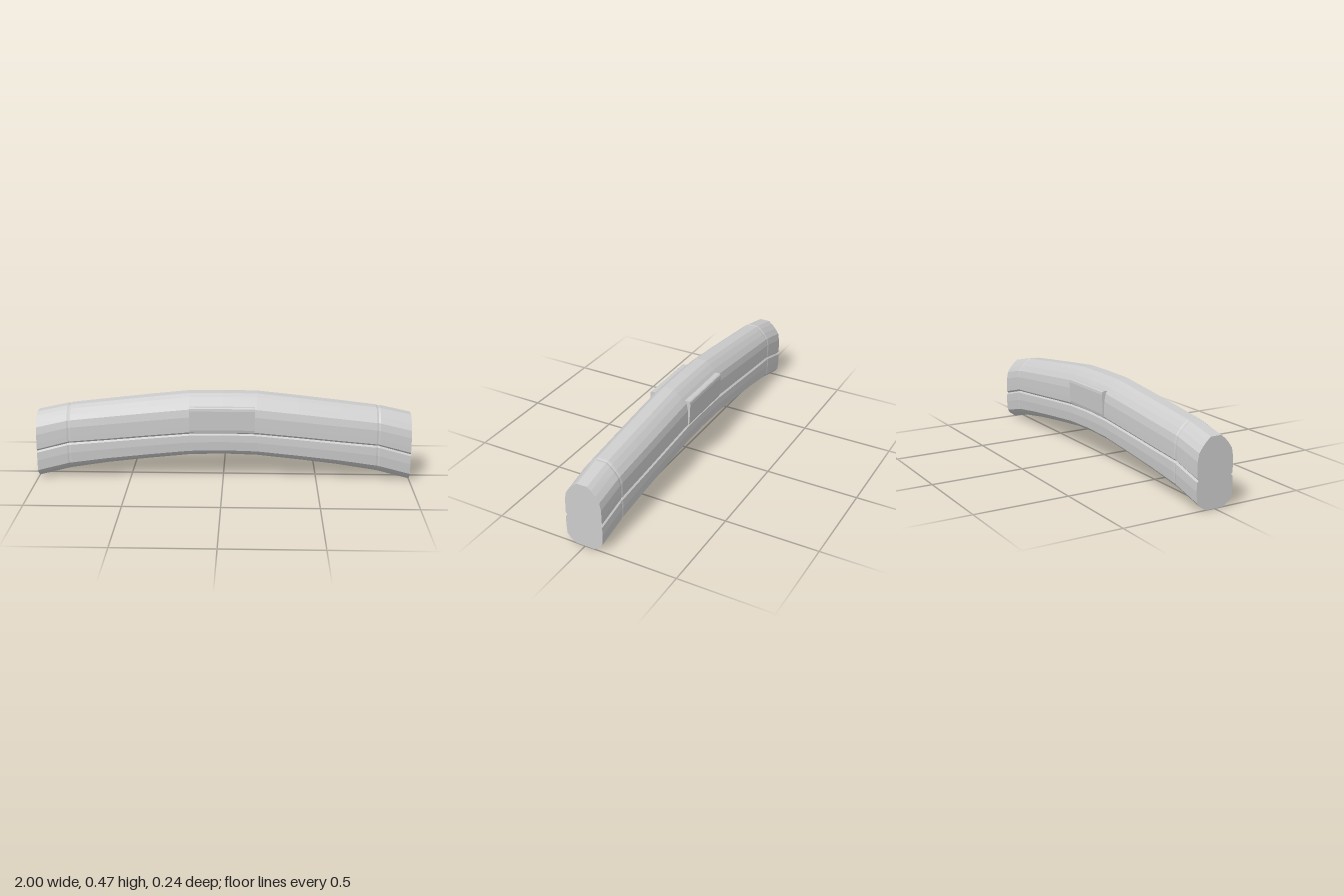
import * as THREE from 'three';

const material = new THREE.MeshStandardMaterial({ color: 0xcccccc, flatShading: true });

// Half stations along the bar: x, top, seam, bottom heights and width scale
const HALF = [
  [0, 0.468, 0.264, 0.135, 1],
  [0.18, 0.466, 0.26, 0.13, 1],
  [0.4, 0.443, 0.241, 0.107, 1],
  [0.62, 0.418, 0.22, 0.081, 0.99],
  [0.815, 0.395, 0.203, 0.05, 0.98],
  [0.825, 0.39, 0.202, 0.048, 0.955],
  [0.835, 0.392, 0.2, 0.046, 0.98],
  [1, 0.356, 0.155, 0.003, 0.95],
];

// Half section: z and height (1 = top, 0 = seam, -1 = bottom)
const SECTION = [
  [0.03, 1], [0.052, 0.92], [0.076, 0.8], [0.098, 0.65], [0.106, 0.45],
  [0.107, 0.2], [0.107, 0.05], [0.098, 0], [0.107, -0.06], [0.109, -0.35],
  [0.105, -0.72], [0.086, -0.86], [0.053, -1],
];

// Arched bar lofted through the stations, closed at both ends
function barGeometry() {
  const stations = [...HALF.slice(1).reverse().map(([x, ...r]) => [-x, ...r]), ...HALF];
  const ring = [...SECTION, ...SECTION.slice().reverse().map(([z, h]) => [-z, h])];
  const n = ring.length, last = stations.length - 1;
  const pos = [], index = [];
  for (const [x, top, seam, bottom, w] of stations) {
    for (const [z, h] of ring) {
      pos.push(x, seam + h * (h > 0 ? top - seam : seam - bottom), z * w);
    }
  }
  for (let i = 0; i < last; i++) {
    for (let j = 0; j < n; j++) {
      const k = (j + 1) % n;
      const a = i * n + j, b = a + n, c = i * n + k, d = c + n;
      index.push(a, c, d, a, d, b);
    }
  }
  // End caps
  for (const [i, flip] of [[0, true], [last, false]]) {
    const centre = pos.length / 3;
    pos.push(stations[i][0], (stations[i][1] + stations[i][3]) / 2, 0);
    for (let j = 0; j < n; j++) {
      const a = i * n + j, b = i * n + (j + 1) % n;
      if (flip) index.push(centre, b, a);
      else index.push(centre, a, b);
    }
  }
  const g = new THREE.BufferGeometry();
  g.setAttribute('position', new THREE.Float32BufferAttribute(pos, 3));
  g.setIndex(index);
  g.computeVertexNormals();
  return g;
}

// Raised side plate: bevelled profile in z and y, extruded along x
function plateGeometry() {
  const s = new THREE.Shape([
    [0.085, 0.27], [0.111, 0.27], [0.115, 0.285], [0.12, 0.39],
    [0.118, 0.404], [0.113, 0.409], [0.085, 0.409],
  ].map(([z, y]) => new THREE.Vector2(z, y)));
  const g = new THREE.ExtrudeGeometry(s, { depth: 0.346, bevelEnabled: false });
  g.translate(0, 0, -0.173);
  g.rotateY(-Math.PI / 2);
  return g;
}

export function createModel() {
  const group = new THREE.Group();
  group.name = 'curvedBar';

  const bar = new THREE.Mesh(barGeometry(), material);
  bar.name = 'archedBar';
  group.add(bar);

  // Matching plates on front and back
  const plate = plateGeometry();
  for (const [name, turn] of [['frontPlate', 0], ['backPlate', Math.PI]]) {
    const mesh = new THREE.Mesh(plate, material);
    mesh.name = name;
    mesh.rotation.y = turn;
    mesh.position.x = -0.005;
    group.add(mesh);
  }
  return group;
}
